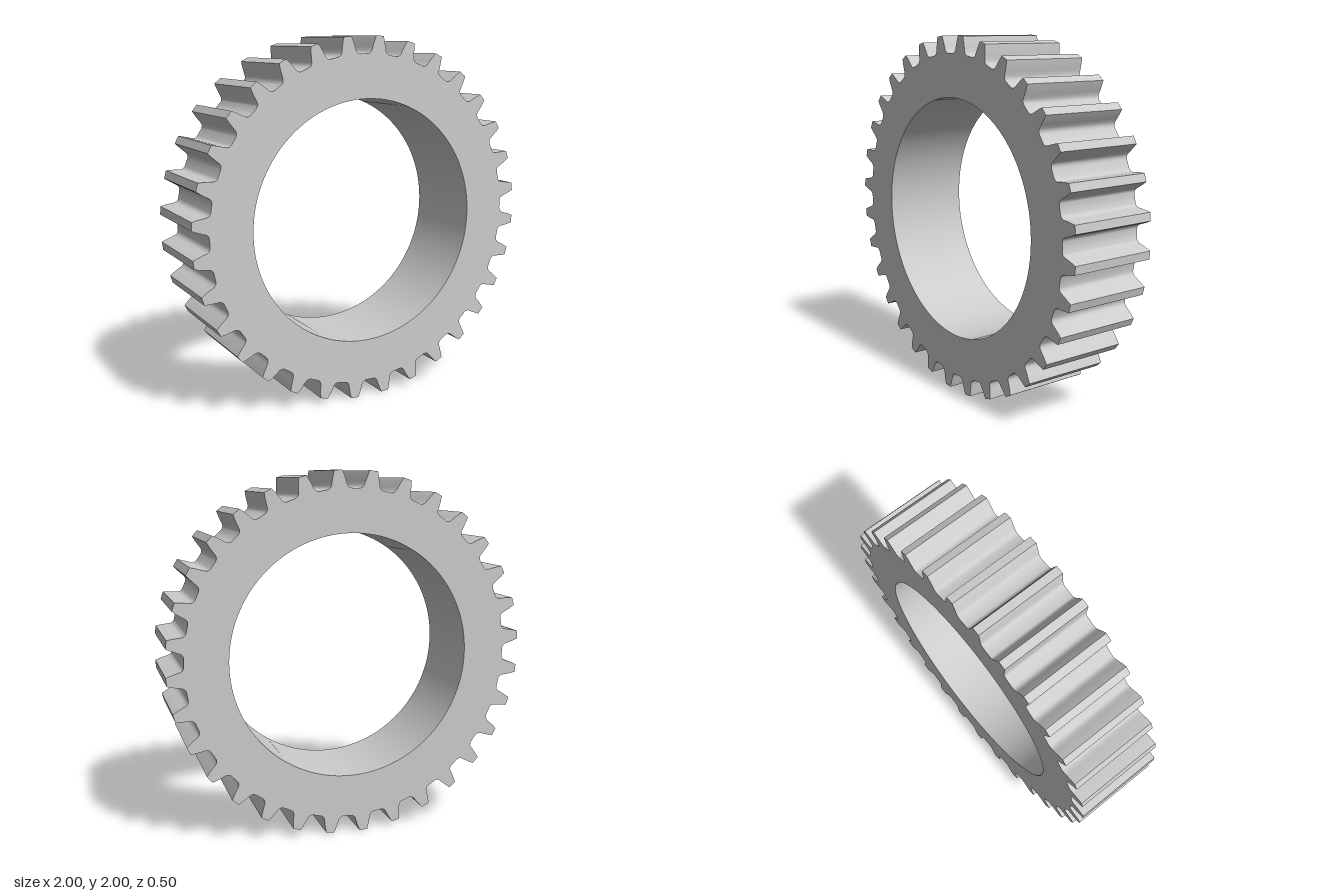
import * as THREE from 'three';
import { toCreasedNormals } from 'three/addons/utils/BufferGeometryUtils.js';

const TEETH = 32;
const WIDTH = 0.5;
const BORE = 0.67;
const PHASE = THREE.MathUtils.degToRad(7);

// Half of one tooth, root to tip: [radius, half width]
const FLANK = [
  [0.906, 0.066], [0.908, 0.058], [0.913, 0.050], [0.923, 0.0435],
  [0.945, 0.0385], [0.975, 0.031], [1.0013, 0.0225],
];

function gearShape() {
  const points = [];
  const add = (r, a) => points.push(new THREE.Vector2(r * Math.cos(a), r * Math.sin(a)));
  for (let i = 0; i < TEETH; i++) {
    const a = PHASE + (i / TEETH) * Math.PI * 2;
    FLANK.forEach(([r, w]) => add(r, a - w / r));
    [...FLANK].reverse().forEach(([r, w]) => add(r, a + w / r));
  }
  const shape = new THREE.Shape(points);

  // Round bore through the middle
  const bore = new THREE.Path();
  bore.absarc(0, 0, BORE, 0, Math.PI * 2, true);
  shape.holes.push(bore);
  return shape;
}

export function createModel() {
  const group = new THREE.Group();
  group.name = 'spurGear';

  // Toothed ring, extruded along z and centred
  const geometry = new THREE.ExtrudeGeometry(gearShape(), {
    depth: WIDTH, bevelEnabled: false, curveSegments: 96,
  });
  geometry.translate(0, 0, -WIDTH / 2);

  const ring = new THREE.Mesh(
    toCreasedNormals(geometry, 0.6),
    new THREE.MeshStandardMaterial({ color: 0xcccccc }),
  );
  ring.name = 'toothedRing';
  ring.position.y = 1;
  group.add(ring);
  return group;
}
